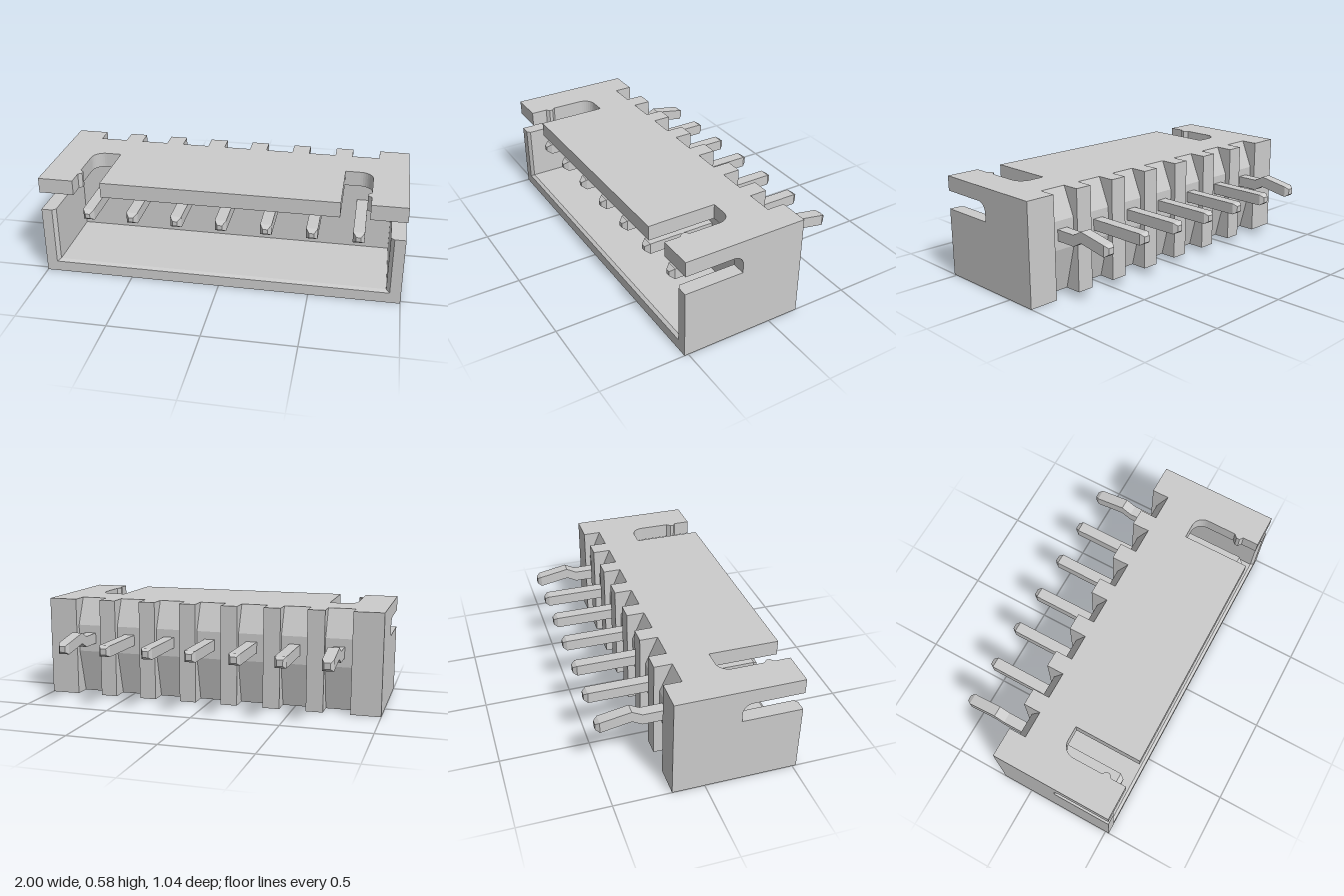
import * as THREE from 'three';

const material = new THREE.MeshStandardMaterial({ color: 0xcccccc, flatShading: true });

// Main levels of the housing
const BACK = -0.18, NOTCH = -0.08, FLOOR = 0.06, LIP = 0.505, FRONT = 0.522;
const TOP = 0.58, ROOF = 0.495, INNER = 0.92;
const PITCH = 0.251, PINS = 7;

function outline(points) {
  return new THREE.Shape(points.map(([a, b]) => new THREE.Vector2(a, b)));
}

// Side profile (z, y) extruded from x0 to x1
function sideExtrude(shape, x0, x1) {
  const g = new THREE.ExtrudeGeometry(shape, { depth: x1 - x0, bevelEnabled: false, curveSegments: 10 });
  return g.rotateY(-Math.PI / 2).translate(x1, 0, 0);
}

// Plan outline (x, z) extruded from y0 to y1
function planExtrude(shape, y0, y1) {
  const g = new THREE.ExtrudeGeometry(shape, { depth: y1 - y0, bevelEnabled: false, curveSegments: 10 });
  return g.rotateX(Math.PI / 2).translate(0, y1, 0);
}

function block(x0, x1, y0, y1, z0, z1) {
  return new THREE.BoxGeometry(x1 - x0, y1 - y0, z1 - z0)
    .translate((x0 + x1) / 2, (y0 + y1) / 2, (z0 + z1) / 2);
}

// Square bar through sections [z, centre y, size], ordered back to front
function bar(sections) {
  const n = sections.length - 1;
  const g = new THREE.BoxGeometry(1, 1, 1, 1, 1, n);
  const p = g.attributes.position;
  for (let i = 0; i < p.count; i++) {
    const [z, y, size] = sections[Math.round((p.getZ(i) + 0.5) * n)];
    p.setXYZ(i, p.getX(i) * size, y + p.getY(i) * size, z);
  }
  g.computeVertexNormals();
  return g;
}

// Side wall with a round-cornered slot open to the front
function sideWallShape() {
  const s = new THREE.Shape();
  s.moveTo(FLOOR, 0);
  s.lineTo(LIP, 0);
  s.lineTo(LIP, 0.39);
  s.lineTo(0.185, 0.39);
  s.lineTo(0.185, ROOF - 0.055);
  s.absarc(0.24, ROOF - 0.055, 0.055, Math.PI, Math.PI / 2, true);
  s.lineTo(FRONT, ROOF);
  s.lineTo(FRONT, TOP);
  s.lineTo(FLOOR, TOP);
  return s;
}

// Roof with two latch slots, each with a small bump on its outer edge
function roofShape() {
  const half = [[INNER, FLOOR], [INNER, FRONT], [0.805, FRONT], [0.805, 0.43], [0.785, 0.415],
    [0.785, 0.395], [0.805, 0.375]];
  for (let i = 0; i <= 8; i++) {
    const a = (i / 8) * Math.PI / 2;
    half.push([0.735 + 0.07 * Math.cos(a), 0.2 - 0.07 * Math.sin(a)]);
  }
  half.push([0.65, 0.13], [0.65, FRONT]);
  return outline([...half, ...half.map(([x, z]) => [-x, z]).reverse()]);
}

export function createModel() {
  const model = new THREE.Group();
  const add = (name, geometry, parent = model) => {
    const mesh = new THREE.Mesh(geometry, material);
    mesh.name = name;
    parent.add(mesh);
    return mesh;
  };

  const housing = new THREE.Group();
  housing.name = 'housing';
  model.add(housing);

  // Solid base, sloping away above and below the pin row
  add('base', sideExtrude(outline([[FLOOR, 0], [FLOOR, TOP], [NOTCH, TOP], [-0.148, 0.42],
    [-0.148, 0.26], [NOTCH, 0]]), -0.83, 0.83), housing);

  // Ribs between the pins
  for (let i = 0; i < PINS - 1; i++) {
    const x = (i - (PINS - 2) / 2) * PITCH;
    add('backRib', block(x - 0.049, x + 0.049, 0, TOP, BACK, NOTCH), housing);
  }

  // Walls around the front cavity
  add('bottomWall', sideExtrude(outline([[FLOOR, 0], [FRONT, 0], [FRONT, 0.06], [LIP, 0.073],
    [FLOOR, 0.073]]), -0.94, 0.94), housing);
  add('roof', planExtrude(roofShape(), ROOF, TOP), housing);
  for (const side of [1, -1]) {
    const name = side > 0 ? 'left' : 'right';
    const [w0, w1] = side > 0 ? [INNER, 1] : [-1, -INNER];
    const [e0, e1] = side > 0 ? [0.83, 1] : [-1, -0.83];
    add(name + 'EndBlock', block(e0, e1, 0, TOP, BACK, FLOOR), housing);
    add(name + 'Wall', sideExtrude(sideWallShape(), w0, w1), housing);
    add(name + 'Lip', planExtrude(outline([[side * INNER, LIP], [side, LIP], [side, FRONT],
      [side * 0.94, FRONT]]), 0, 0.39), housing);
  }

  // Contact pins; the two end pins have a kinked tail
  const pins = new THREE.Group();
  pins.name = 'pins';
  model.add(pins);
  const y = 0.343, size = 0.063;
  const tip = [-FRONT, y, 0.034], tail = [-0.5, y, size];
  const nose = [[0.447, y, size], [0.473, y, 0.026]];
  const kink = [[-0.33, y + 0.031, size], [-0.272, y, size]];
  for (let i = 0; i < PINS; i++) {
    const isEnd = i === 0 || i === PINS - 1;
    const pin = add(isEnd ? 'kinkedPin' : 'straightPin',
      bar([tip, tail, ...(isEnd ? kink : []), ...nose]), pins);
    pin.position.x = (i - (PINS - 1) / 2) * PITCH;
  }
  return model;
}
